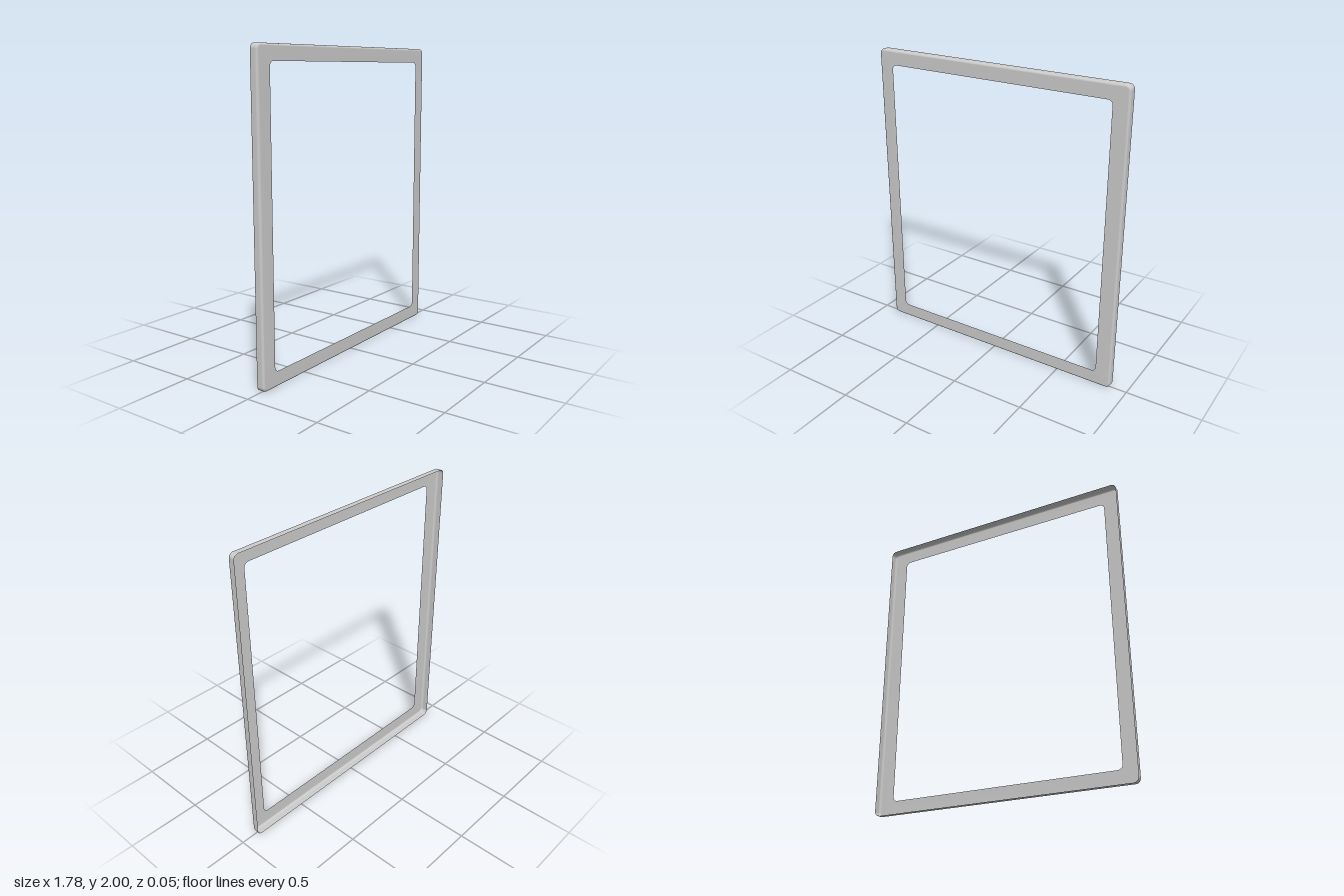
import * as THREE from 'three';

const HALF_W = 0.89, HALF_H = 1, HALF_D = 0.025;
const FILLET = 0.015, CORNER = 0.032, STEPS = 6;

// Counter-clockwise rounded rectangle at depth z
function roundedLoop(hw, hh, r, z) {
  const pts = [];
  [[1, 1], [-1, 1], [-1, -1], [1, -1]].forEach(([sx, sy], q) => {
    for (let i = 0; i <= STEPS; i++) {
      const a = (q + i / STEPS) * Math.PI / 2;
      pts.push([sx * (hw - r) + r * Math.cos(a), HALF_H + sy * (hh - r) + r * Math.sin(a), z]);
    }
  });
  return pts;
}

// Skin a series of closed loops
function loft(loops) {
  const n = loops[0].length, index = [];
  for (let k = 0; k < loops.length - 1; k++) {
    for (let i = 0; i < n; i++) {
      const j = (i + 1) % n;
      const a = k * n + i, b = k * n + j, c = b + n, d = a + n;
      index.push(a, b, c, a, c, d);
    }
  }
  const geo = new THREE.BufferGeometry();
  geo.setAttribute('position', new THREE.Float32BufferAttribute(loops.flat(2), 3));
  geo.setIndex(index);
  geo.computeVertexNormals();
  return geo;
}

export function createModel() {
  const group = new THREE.Group();
  group.name = 'frame';

  // Outer wall, open at the back
  const loops = [roundedLoop(HALF_W, HALF_H, CORNER, -HALF_D)];

  // Rounded front edge
  for (let i = 0; i <= 5; i++) {
    const a = (i / 5) * Math.PI / 2;
    const inset = FILLET * (1 - Math.cos(a));
    loops.push(roundedLoop(HALF_W - inset, HALF_H - inset, CORNER - inset,
      HALF_D - FILLET + FILLET * Math.sin(a)));
  }

  // Flat front face ending at the rounded opening
  loops.push(roundedLoop(0.786, 0.903, 0.03, HALF_D));

  const bezel = new THREE.Mesh(loft(loops),
    new THREE.MeshStandardMaterial({ color: 0xcccccc, side: THREE.DoubleSide }));
  bezel.name = 'bezel';
  group.add(bezel);
  return group;
}
